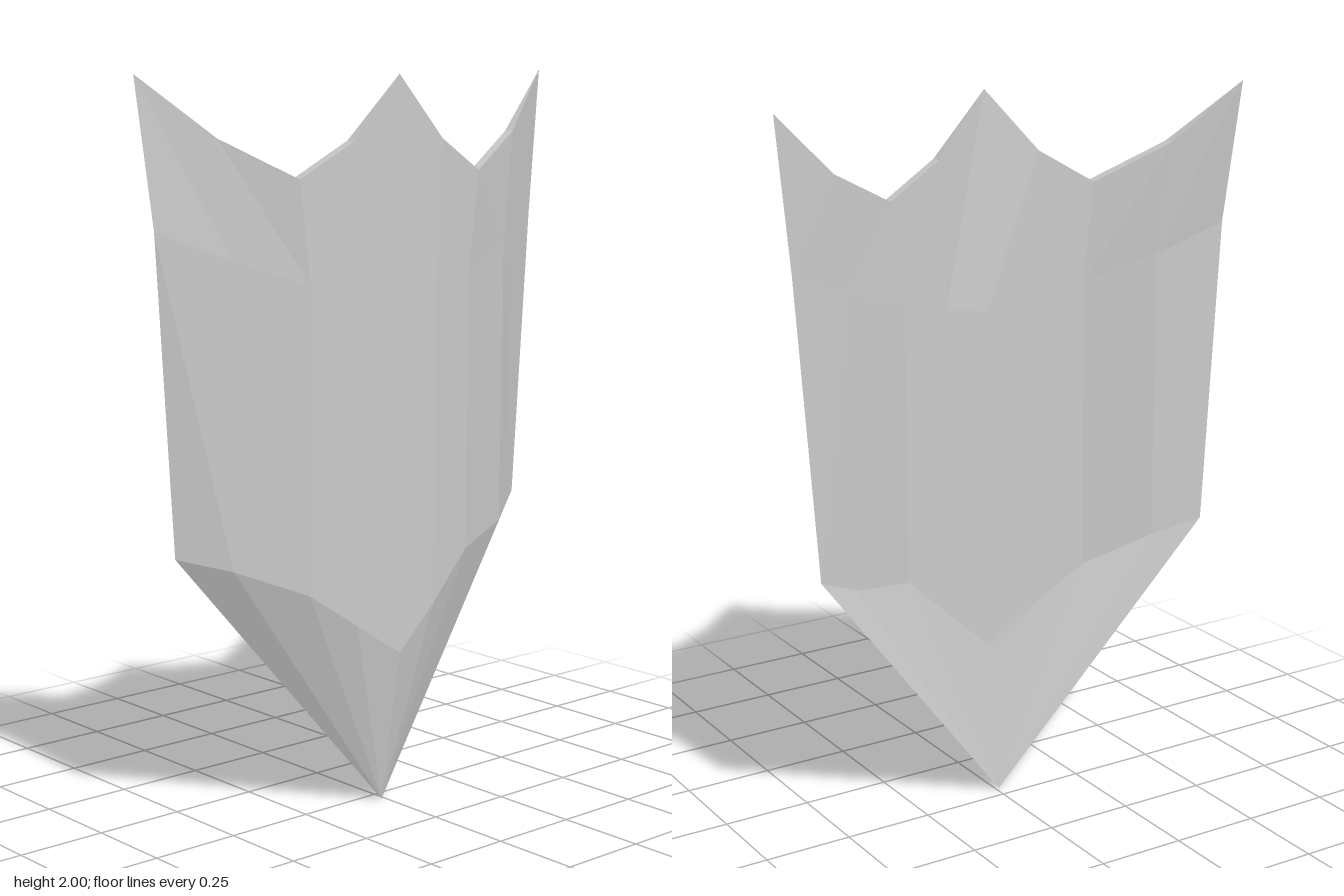
import * as THREE from 'three';

// Columns from the +z edge to the -z edge; each holds the top, middle and
// lower points of the outer plate as [x, y, z].
const COLUMNS = [
  [[-0.11, 1.99, 0.70], [-0.075, 1.60, 0.67], [-0.09, 0.75, 0.61]],
  [[-0.02, 1.83, 0.51], [0.00, 1.52, 0.48], [-0.01, 0.71, 0.48]],
  [[0.075, 1.725, 0.32], [0.08, 1.45, 0.29], [0.07, 0.63, 0.29]],
  [[0.105, 1.82, 0.16], [0.103, 1.42, 0.15], [0.10, 0.53, 0.15]],
  [[0.11, 1.99, 0.01], [0.107, 1.40, 0.00], [0.105, 0.43, 0.00]],
  [[0.105, 1.82, -0.15], [0.105, 1.42, -0.13], [0.10, 0.55, -0.13]],
  [[0.08, 1.73, -0.31], [0.085, 1.45, -0.27], [0.08, 0.68, -0.27]],
  [[0.01, 1.83, -0.51], [0.02, 1.52, -0.47], [0.01, 0.72, -0.47]],
  [[-0.075, 2.00, -0.70], [-0.07, 1.60, -0.66], [-0.068, 0.78, -0.60]],
];
const TIP = [0.04, 0, 0.01];
const ROWS = 3;

// Plate thickness: sharp at both side edges and at the central crest
function thickness(col, row) {
  if (col === 0 || col === COLUMNS.length - 1) return 0;
  if (row === 0 && col === 4) return 0;
  return 0.03;
}

function meshFrom(name, positions, material) {
  const geometry = new THREE.BufferGeometry();
  geometry.setAttribute('position', new THREE.Float32BufferAttribute(positions, 3));
  geometry.computeVertexNormals();
  const mesh = new THREE.Mesh(geometry, material);
  mesh.name = name;
  return mesh;
}

// Faceted skin of the plate; inner skins are wound the other way
function skin(points, inner) {
  const out = [];
  const tri = (a, b, c) => out.push(...a, ...(inner ? c : b), ...(inner ? b : c));
  for (let i = 0; i < points.length - 1; i++) {
    const left = points[i], right = points[i + 1];
    for (let j = 0; j < ROWS - 1; j++) {
      tri(left[j], left[j + 1], right[j + 1]);
      tri(left[j], right[j + 1], right[j]);
    }
    // Lower fan closing to the point
    tri(left[ROWS - 1], TIP, right[ROWS - 1]);
  }
  return out;
}

export function createModel() {
  const group = new THREE.Group();
  group.name = 'shield';
  const material = new THREE.MeshStandardMaterial({ color: 0xcccccc, flatShading: true });

  const outer = COLUMNS;
  const inner = COLUMNS.map((col, i) =>
    col.map(([x, y, z], j) => [x - thickness(i, j), y, z]));

  // Scalloped top rim between the two skins
  const rim = [];
  for (let i = 0; i < outer.length - 1; i++) {
    const a = outer[i][0], b = outer[i + 1][0], c = inner[i + 1][0], d = inner[i][0];
    rim.push(...a, ...b, ...c, ...a, ...c, ...d);
  }

  group.add(
    meshFrom('outerFace', skin(outer, false), material),
    meshFrom('innerFace', skin(inner, true), material),
    meshFrom('topRim', rim, material),
  );
  return group;
}
